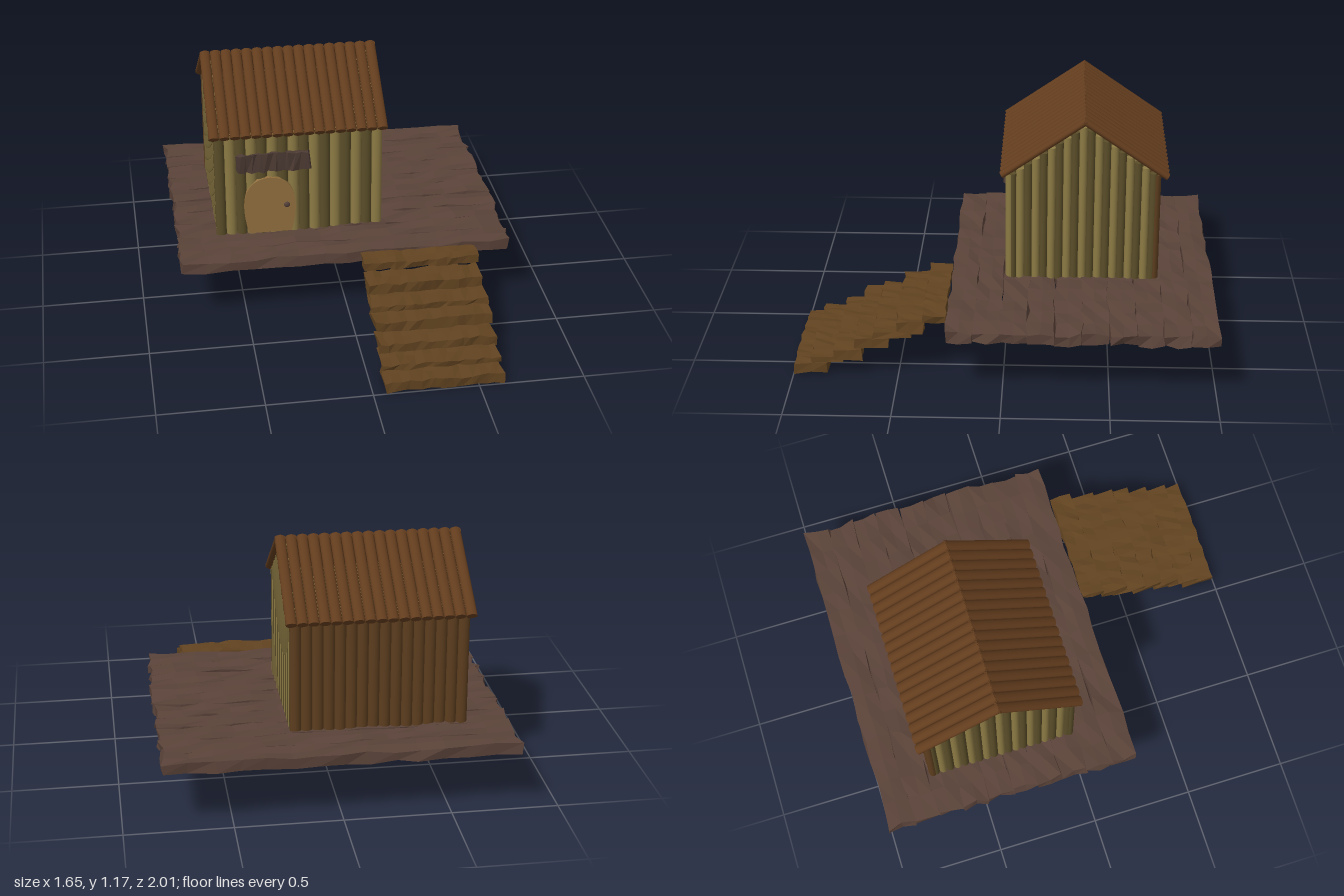
import * as THREE from 'three';

const mat = (color, flatShading = false) =>
  new THREE.MeshStandardMaterial({ color, flatShading, roughness: 1 });
const DECK = mat(0x5a4339, true), STEP = mat(0x614320, true), SIGN = mat(0x4c3a33, true);
const LIGHT = mat(0x8c7a44), DARK = mat(0x5a4d28), BACK = mat(0x5c3d1e), ROOF = mat(0x623c1d);
const DOOR = mat(0x92703f), KNOB = mat(0x54403a);

// repeatable value in -1..1 for three numbers
function hash(a, b, c) {
  const s = Math.sin(a * 127.1 + b * 311.7 + c * 74.7) * 43758.5453;
  return (s - Math.floor(s)) * 2 - 1;
}

// rough-hewn plank: a box whose long edges and ends are hacked unevenly
function plank(name, w, h, d, material, seed, rough) {
  const geo = new THREE.BoxGeometry(w, h, d, 14, 1, 2);
  const p = geo.attributes.position;
  for (let i = 0; i < p.count; i++) {
    const x = p.getX(i), y = p.getY(i), z = p.getZ(i);
    const kx = Math.round(x / w * 14), ky = Math.sign(y), kz = Math.round(z / d * 2);
    const n = (s) => hash(kx + seed * 3.7, ky * 2.3 + s, kz * 1.9 + seed);
    p.setXYZ(i,
      x + n(1) * rough * 0.8 * (Math.abs(kx) === 7 ? 1 : 0.9),
      y + n(2) * rough * 0.45,
      z + n(3) * rough * (kz === 0 ? 0.3 : 0.5));
  }
  geo.computeVertexNormals();
  const mesh = new THREE.Mesh(geo, material);
  mesh.name = name;
  return mesh;
}

// round log between two points, flattened along its local z
function log(name, a, b, r, material, flat = 1) {
  const dir = b.clone().sub(a);
  const mesh = new THREE.Mesh(new THREE.CylinderGeometry(r, r, dir.length(), 14), material);
  mesh.name = name;
  mesh.scale.z = flat;
  mesh.position.copy(a).add(b).multiplyScalar(0.5);
  mesh.quaternion.setFromUnitVectors(new THREE.Vector3(0, 1, 0), dir.normalize());
  return mesh;
}

const V = (x, y, z) => new THREE.Vector3(x, y, z);
const RIDGE_Z = -0.375, FLOOR = 0.33;
const roofUnder = (z) => 1.14 - Math.abs(z - RIDGE_Z) * 0.715;

function group(name, parent) {
  const g = new THREE.Group();
  g.name = name;
  parent.add(g);
  return g;
}

export function createModel() {
  const model = new THREE.Group();
  model.name = 'logCabin';

  // deck of ten long planks, with a narrow slit near the middle
  const deck = group('deck', model);
  for (let i = 0; i < 10; i++) {
    const m = plank('deckPlank', 1.62, 0.052, i === 4 || i === 3 ? 0.124 : 0.129, DECK, i + 1, 0.018);
    m.position.set(0, 0.316, 0.2 - i * 0.1265);
    deck.add(m);
  }

  // steps: [z centre, y centre, depth, thickness]
  const steps = group('steps', model);
  [[0.915, 0.04, 0.16, 0.05], [0.835, 0.09, 0.16, 0.026], [0.735, 0.12, 0.13, 0.052],
   [0.625, 0.18, 0.16, 0.05], [0.525, 0.224, 0.18, 0.026], [0.44, 0.265, 0.13, 0.052],
   [0.325, 0.315, 0.11, 0.04]].forEach(([z, y, d, h], i) => {
    const m = plank('step', 0.56, h, d, STEP, i + 21, 0.013);
    m.position.set(0.34, y, z);
    steps.add(m);
  });

  // front and back walls
  const walls = group('walls', model);
  for (let i = 0; i < 16; i++) {
    const x = -0.594 + i * 0.0519;
    walls.add(log('frontPost', V(x, FLOOR, -0.018), V(x, 0.88, -0.018), 0.0262, i % 2 ? LIGHT : DARK, 0.8));
    walls.add(log('backPost', V(x, FLOOR, -0.72), V(x, 0.885, -0.72), 0.0262, BACK, 0.8));
  }
  // gable walls, posts cut to the roof slope
  for (const x of [-0.598, 0.192]) {
    for (let i = 0; i < 19; i++) {
      const z = -0.03 - i * 0.0375;
      walls.add(log('gablePost', V(x, FLOOR, z), V(x, roofUnder(z) - 0.01, z), 0.0192, i % 2 ? LIGHT : DARK));
    }
  }

  // roof logs on both slopes
  const roof = group('roof', model);
  for (let i = 0; i < 17; i++) {
    const x = -0.618 + i * 0.0516;
    for (const s of [-1, 1]) {
      roof.add(log('roofLog', V(x, 1.162, RIDGE_Z - s * 0.008), V(x, 0.882, RIDGE_Z + s * 0.396),
        0.0252, ROOF, 0.68));
    }
  }

  // arched door bulging at mid height
  const arch = new THREE.Shape();
  arch.moveTo(-0.107, 0);
  arch.bezierCurveTo(-0.13, 0.09, -0.132, 0.15, -0.122, 0.2);
  arch.bezierCurveTo(-0.1, 0.34, 0.1, 0.34, 0.122, 0.2);
  arch.bezierCurveTo(0.132, 0.15, 0.13, 0.09, 0.107, 0);
  arch.closePath();
  const door = new THREE.Mesh(
    new THREE.ExtrudeGeometry(arch, { depth: 0.022, bevelEnabled: false, curveSegments: 12 }), DOOR);
  door.name = 'door';
  door.position.set(-0.352, 0.345, -0.009);
  const knob = new THREE.Mesh(new THREE.SphereGeometry(0.015, 12, 8), KNOB);
  knob.name = 'doorKnob';
  knob.position.set(-0.268, 0.494, 0.014);
  knob.scale.z = 0.6;
  model.add(door, knob);

  // blank signboard above the door
  const sign = plank('signboard', 0.36, 0.095, 0.022, SIGN, 41, 0.014);
  sign.position.set(-0.332, 0.735, 0.012);
  model.add(sign);

  return model;
}
